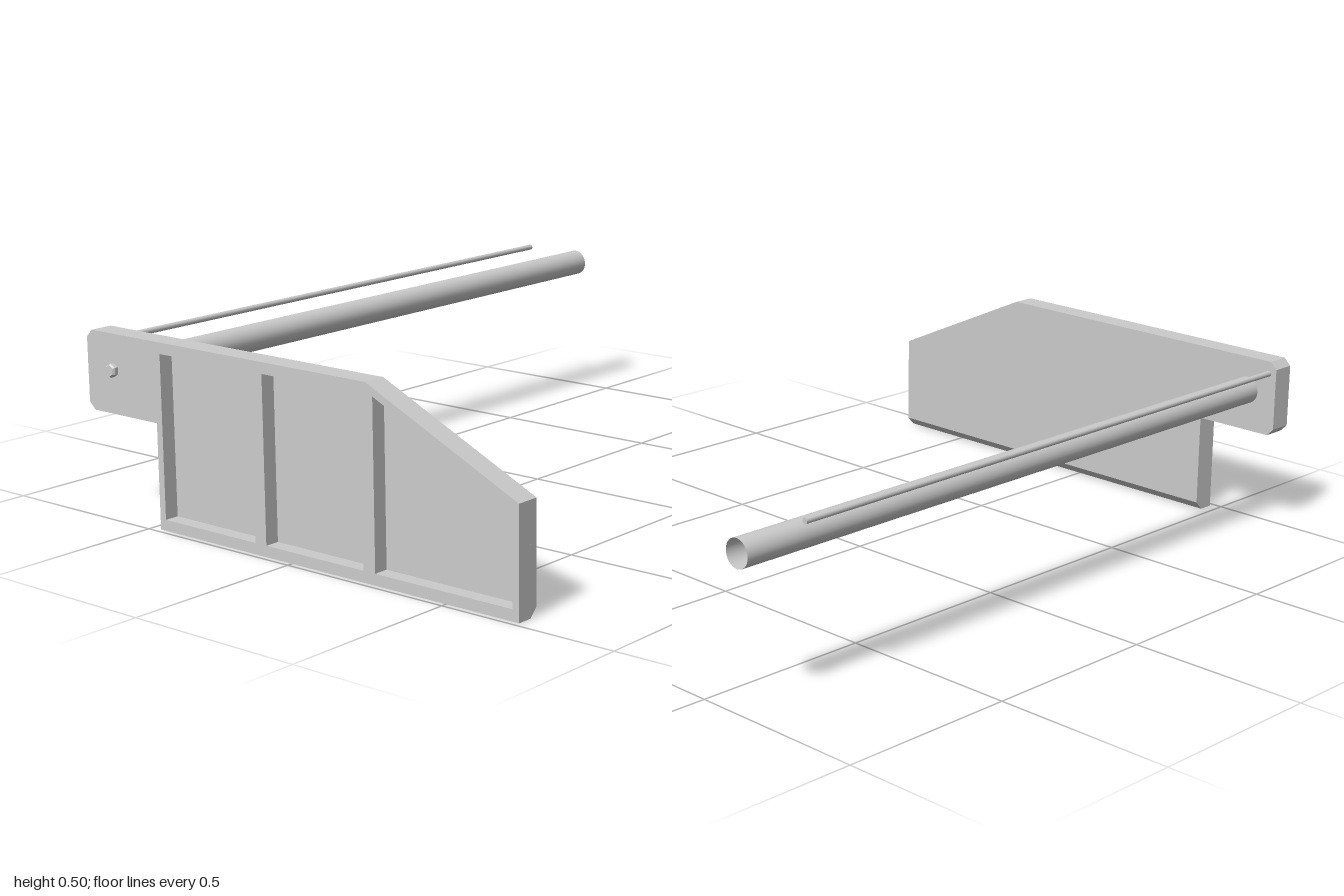
import * as THREE from 'three';

const BACK = 0.92, FLOOR = 0.024, FRONT = 0.985;

function path(points, Type = THREE.Shape) {
  return new Type(points.map(([x, y]) => new THREE.Vector2(x, y)));
}

function slab(shape, z0, z1) {
  return new THREE.ExtrudeGeometry(shape, { depth: z1 - z0, bevelEnabled: false }).translate(0, 0, z0);
}

// cylinder along z between z0 and z1, r0 at the back and r1 at the front
function rodZ(r0, r1, z0, z1, sides, x, y, open = false) {
  return new THREE.CylinderGeometry(r1, r0, z1 - z0, sides, 1, open)
    .rotateX(Math.PI / 2).translate(x, y, (z0 + z1) / 2);
}

export function createModel() {
  const group = new THREE.Group();
  const grey = new THREE.MeshStandardMaterial({ color: 0xcccccc });
  const flat = new THREE.MeshStandardMaterial({ color: 0xcccccc, flatShading: true });
  const open = new THREE.MeshStandardMaterial({ color: 0xcccccc, side: THREE.DoubleSide });
  const add = (name, geometry, material) => {
    const mesh = new THREE.Mesh(geometry, material);
    mesh.name = name;
    group.add(mesh);
  };

  // Blade outline with mounting tab at the right-hand end
  const outline = [
    [-0.47, 0], [0.72, 0], [0.72, 0.285], [0.255, 0.5], [-0.705, 0.5], [-0.725, 0.48],
    [-0.725, 0.305], [-0.705, 0.285], [-0.47, 0.285],
  ];
  const pockets = [
    [[-0.45, 0.03], [-0.45, 0.47], [-0.125, 0.47], [-0.125, 0.03]],
    [[-0.087, 0.03], [-0.087, 0.47], [0.24, 0.47], [0.24, 0.03]],
    [[0.278, 0.03], [0.278, 0.468], [0.7, 0.272], [0.7, 0.03]],
  ];

  // Back skin, its lower rear edge chamfered
  const skin = slab(path(outline), BACK, BACK + FLOOR);
  const pos = skin.attributes.position;
  for (let i = 0; i < pos.count; i++) {
    if (pos.getY(i) < 0.001 && pos.getZ(i) < BACK + 0.001) pos.setY(i, 0.025);
  }
  skin.computeVertexNormals();
  add('bladeBackSkin', skin, flat);

  // Front frame with three pockets
  const frame = path(outline);
  frame.holes = pockets.map((p) => path(p, THREE.Path));
  add('bladeFrame', slab(frame, BACK + FLOOR, FRONT), flat);

  // Hollow arm and the thin rod beside it
  add('armTube', rodZ(0.038, 0.038, -1, BACK, 32, -0.627, 0.403, true), open);
  add('thinRod', rodZ(0.008, 0.008, -0.855, BACK, 16, -0.7, 0.465), grey);

  // Hex bolt head with a bevelled rim
  add('boltHead', rodZ(0.019, 0.019, FRONT, 0.995, 6, -0.627, 0.403), flat);
  add('boltTip', rodZ(0.019, 0.015, 0.995, 1, 6, -0.627, 0.403), flat);
  return group;
}
